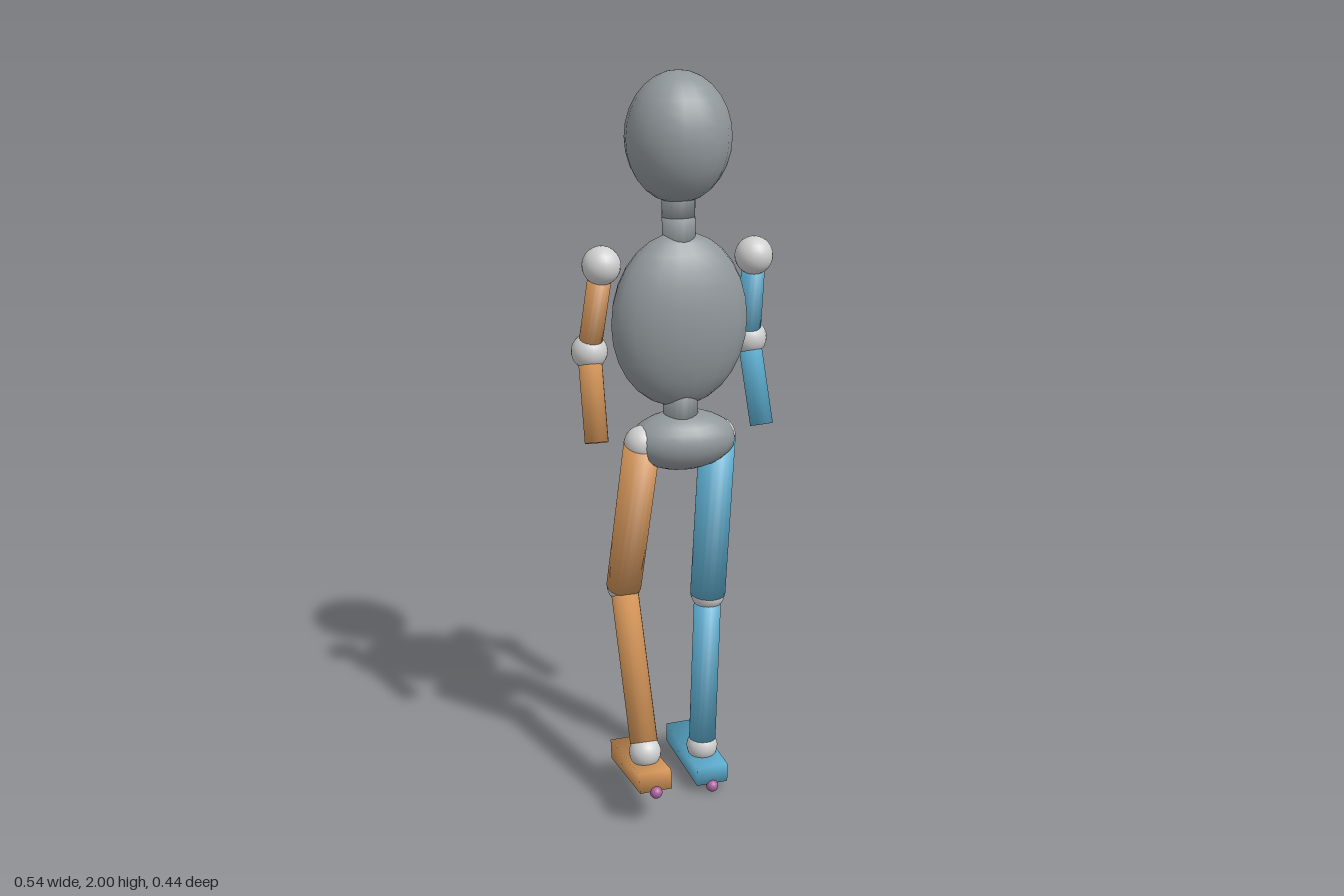
import * as THREE from 'three';

const mat = (name, color) => {
  const m = new THREE.MeshStandardMaterial({ color });
  m.name = name;
  return m;
};

export function createModel() {
  const root = new THREE.Group();
  root.name = 'walkingFigure';
  const grey = mat('body grey', 0x90979b);
  const white = mat('joint white', 0xcfcfcf);
  const blue = mat('left blue', 0x5fb0d3);
  const orange = mat('right orange', 0xd6975a);
  const green = mat('toe green', 0x74c08c);
  const purple = mat('heel purple', 0xa8629a);

  const add = (name, geo, material, pos, parent = root) => {
    const mesh = new THREE.Mesh(geo, material);
    mesh.name = name;
    mesh.position.set(...pos);
    parent.add(mesh);
    return mesh;
  };

  // Soft normals that roll over the rims and corners of a part
  const soften = (geo, rx, rz) => {
    const p = geo.attributes.position;
    const n = new THREE.Vector3();
    for (let i = 0; i < p.count; i++) {
      n.set(p.getX(i) / rx, Math.sign(p.getY(i)), p.getZ(i) / rz).normalize();
      geo.attributes.normal.setXYZ(i, n.x, n.y, n.z);
    }
    return geo;
  };

  const ball = (name, material, pos, r, parent) =>
    add(name, new THREE.SphereGeometry(r, 20, 14), material, pos, parent);

  const ellipsoid = (name, pos, size) => {
    const mesh = add(name, new THREE.SphereGeometry(1, 18, 14), grey, pos);
    mesh.scale.set(...size);
    return mesh;
  };

  // Round bar from a to b, with the far end shortened by trim
  const limb = (name, material, a, b, r, trim = 0, parent = root) => {
    const start = new THREE.Vector3(...a);
    const dir = new THREE.Vector3(...b).sub(start);
    const length = dir.length() - trim;
    dir.normalize();
    const mid = start.addScaledVector(dir, length / 2);
    const geo = soften(new THREE.CylinderGeometry(r, r, length, 18), r, r);
    const mesh = add(name, geo, material, mid.toArray(), parent);
    mesh.quaternion.setFromUnitVectors(new THREE.Vector3(0, 1, 0), dir.negate());
    return mesh;
  };

  // Head, neck and trunk
  ellipsoid('head', [0, 1.835, -0.002], [0.137, 0.165, 0.127]);
  limb('upperNeck', grey, [0, 1.72, 0], [0, 1.63, 0], 0.043);
  limb('lowerNeck', grey, [0, 1.635, 0], [0, 1.54, 0.01], 0.043);
  ellipsoid('torso', [0, 1.367, 0.01], [0.184, 0.231, 0.1]);
  limb('waist', grey, [0, 1.2, 0.015], [0, 1.08, 0.02], 0.046);
  ellipsoid('pelvis', [0.005, 1.045, 0.02], [0.143, 0.08, 0.09]).rotation.y = -0.08;

  // Joint positions of each side
  const sides = [
    {
      name: 'left', color: blue,
      shoulder: [0.202, 1.522, 0.01], elbow: [0.219, 1.282, -0.062], hand: [0.229, 1.06, 0.016],
      hip: [0.104, 1.045, 0.016], knee: [0.093, 0.572, -0.022], ankle: [0.076, 0.102, -0.015],
      foot: [0.076, 0.0525, -0.064], tilt: 0,
      heel: [0.076, 0.018, 0.073], toe: [0.076, 0.018, -0.204],
    },
    {
      name: 'right', color: orange,
      shoulder: [-0.203, 1.522, -0.006], elbow: [-0.221, 1.282, -0.068], hand: [-0.23, 1.06, 0.02],
      hip: [-0.107, 1.045, 0.02], knee: [-0.119, 0.582, -0.121], ankle: [-0.132, 0.183, 0.106],
      foot: [-0.132, 0.122, 0.064], tilt: -0.14,
      heel: [-0.132, 0.11, 0.203], toe: [-0.132, 0.073, -0.07],
    },
  ];

  for (const s of sides) {
    // Arm
    const arm = new THREE.Group();
    arm.name = s.name + 'Arm';
    root.add(arm);
    ball('shoulder', white, s.shoulder, 0.05, arm);
    limb('upperArm', s.color, s.shoulder, s.elbow, 0.031, 0, arm);
    ball('elbow', white, s.elbow, 0.048, arm);
    limb('forearm', s.color, s.elbow, s.hand, 0.031, 0, arm);

    // Leg
    const leg = new THREE.Group();
    leg.name = s.name + 'Leg';
    root.add(leg);
    ball('hip', white, s.hip, 0.048, leg);
    limb('thigh', s.color, s.hip, s.knee, 0.049, 0, leg);
    ball('knee', white, s.knee, 0.048, leg);
    limb('shin', s.color, s.knee, s.ankle, 0.038, 0.025, leg);
    ball('ankle', white, s.ankle, 0.044, leg);

    // Foot with a marker bead under each end
    const box = soften(new THREE.BoxGeometry(0.09, 0.055, 0.275), 0.045, 0.1375);
    add('foot', box, s.color, s.foot, leg).rotation.x = s.tilt;
    ball('heelMarker', purple, s.heel, 0.017, leg);
    ball('toeMarker', green, s.toe, 0.017, leg);
  }
  return root;
}
